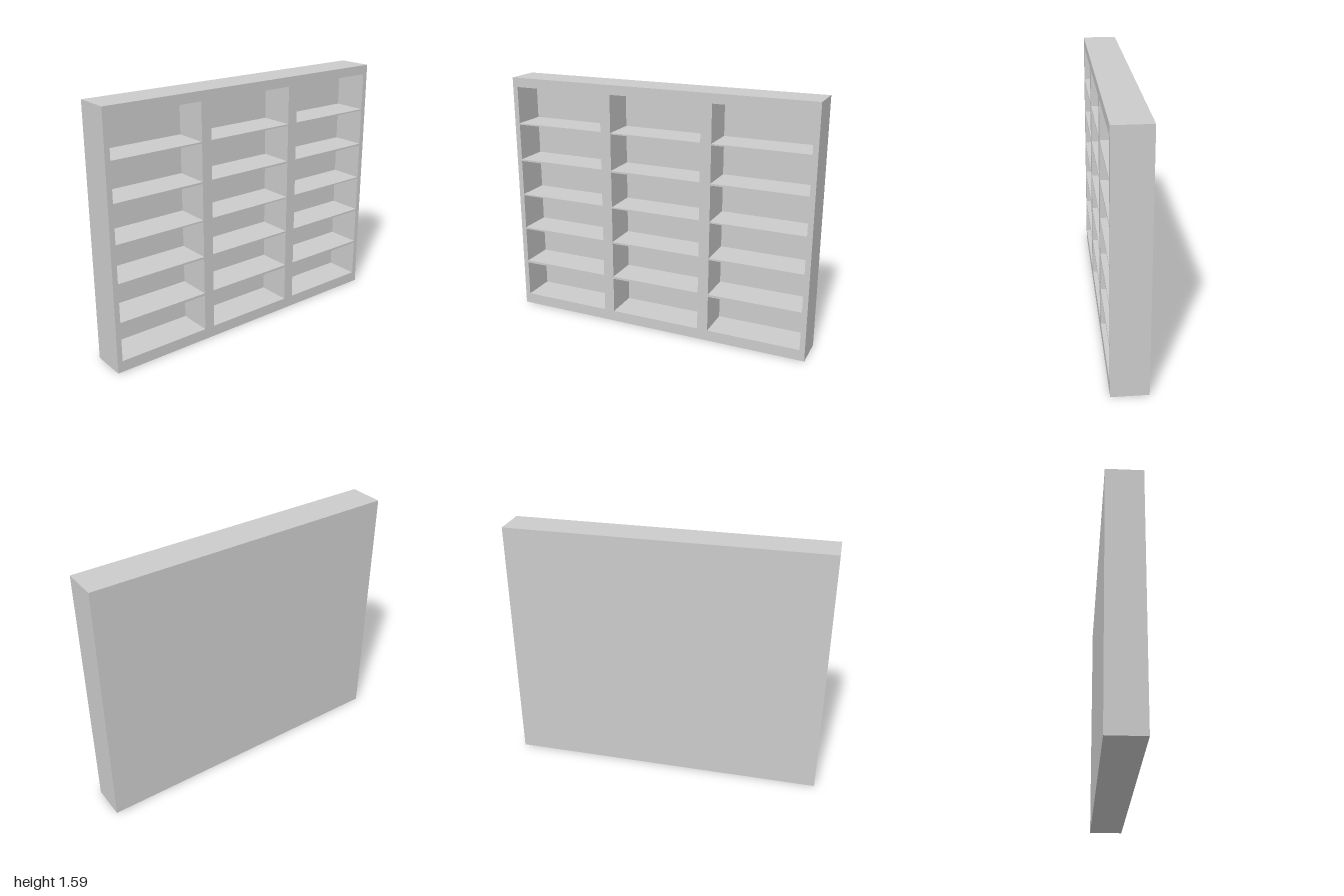
import * as THREE from 'three';

const WIDTH = 2, HEIGHT = 1.588, DEPTH = 0.222, BACK = 0.002;

// Compartment openings: [start, end] across and up
const COLUMNS = [[-0.967, -0.368], [-0.299, 0.299], [0.368, 0.967]];
const ROWS = [[0.071, 0.307], [0.322, 0.556], [0.568, 0.797], [0.806, 1.036], [1.048, 1.282], [1.291, 1.528]];

// Trace a rectangle on a Shape or Path
function rectangle(path, x0, y0, x1, y1) {
  path.moveTo(x0, y0);
  path.lineTo(x1, y0);
  path.lineTo(x1, y1);
  path.lineTo(x0, y1);
  path.closePath();
  return path;
}

export function createModel() {
  const group = new THREE.Group();
  group.name = 'shelfUnit';
  const material = new THREE.MeshStandardMaterial({ color: 0xcccccc });

  // Frame with uprights and shelves, pierced by the compartments
  const outline = rectangle(new THREE.Shape(), -WIDTH / 2, 0, WIDTH / 2, HEIGHT);
  for (const [x0, x1] of COLUMNS) {
    for (const [y0, y1] of ROWS) {
      outline.holes.push(rectangle(new THREE.Path(), x0, y0, x1, y1));
    }
  }
  const frameGeometry = new THREE.ExtrudeGeometry(outline, { depth: DEPTH - BACK, bevelEnabled: false });
  frameGeometry.translate(0, 0, -DEPTH / 2 + BACK);
  const frame = new THREE.Mesh(frameGeometry, material);
  frame.name = 'shelfFrame';
  group.add(frame);

  // Thin panel closing the back
  const back = new THREE.Mesh(new THREE.BoxGeometry(WIDTH, HEIGHT, BACK), material);
  back.name = 'backPanel';
  back.position.set(0, HEIGHT / 2, -DEPTH / 2 + BACK / 2);
  group.add(back);

  return group;
}
